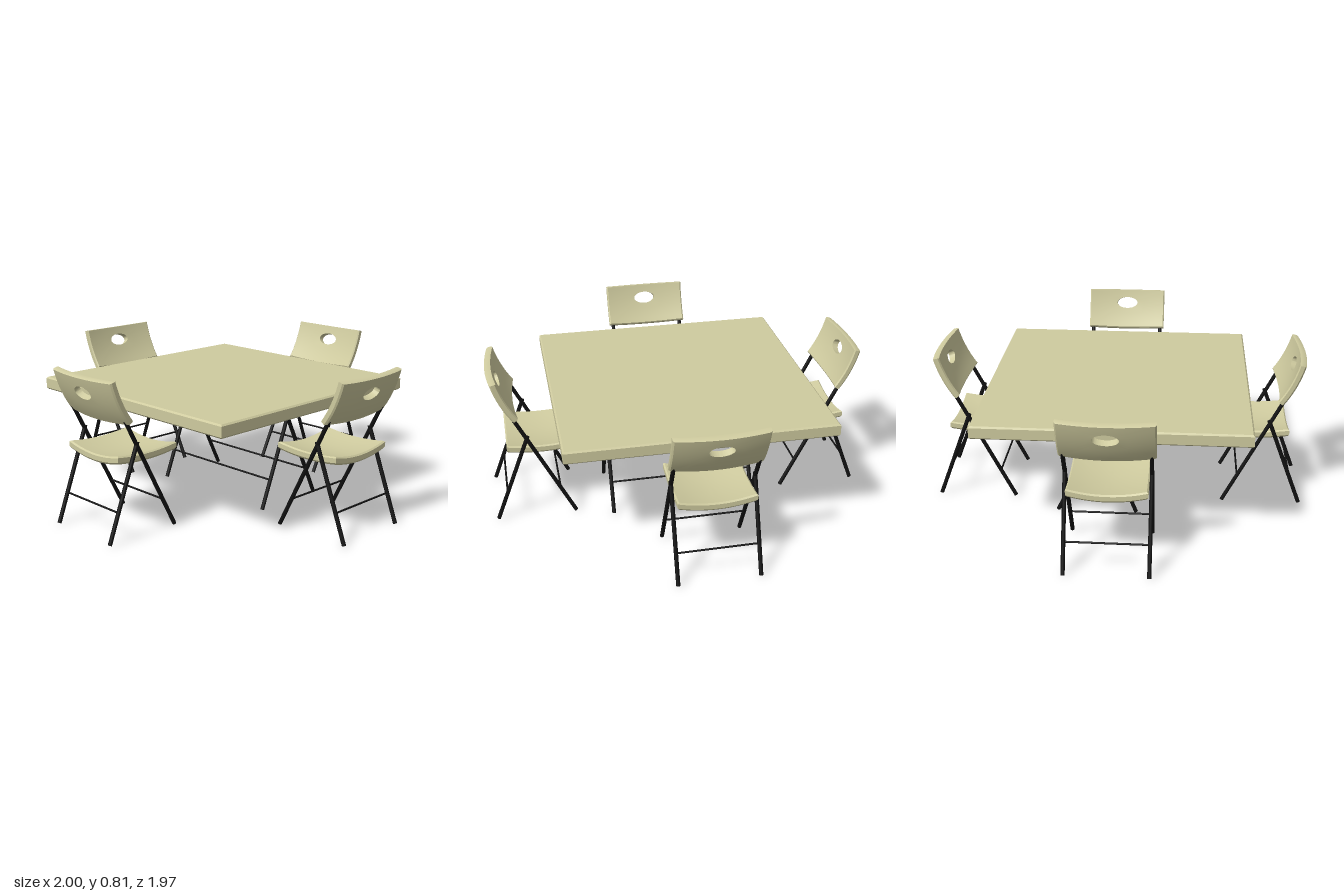
import * as THREE from 'three';
import { toCreasedNormals } from 'three/addons/utils/BufferGeometryUtils.js';

const plastic = new THREE.MeshStandardMaterial({ color: 0xcfcb9f });
const steel = new THREE.MeshStandardMaterial({ color: 0x111111 });
const V = (x, y, z) => new THREE.Vector3(x, y, z);

function add(parent, name, geometry, material) {
  const mesh = new THREE.Mesh(geometry, material);
  mesh.name = name;
  parent.add(mesh);
  return mesh;
}

// Straight round bar between two points
function bar(parent, name, a, b, radius) {
  const mesh = add(parent, name, new THREE.CylinderGeometry(radius, radius, a.distanceTo(b), 10), steel);
  mesh.position.copy(a).lerp(b, 0.5);
  mesh.quaternion.setFromUnitVectors(V(0, 1, 0), b.clone().sub(a).normalize());
}

// Bent rectangular slab: rings run from an oval hole (or the centre) out to the
// rim on top and back underneath; bend(u, v, w) places each point in space.
function panel(halfU, halfV, thick, hole, bend) {
  const N = 64, steps = [0, 0.25, 0.5, 0.75, 0.96];
  const profile = [
    ...steps.map(s => [s, thick / 2]),
    [1, thick * 0.3], [1, -thick * 0.3],
    ...steps.slice().reverse().map(s => [s, -thick / 2]),
  ];
  const M = profile.length, positions = [], index = [];
  for (let i = 0; i < N; i++) {
    const a = i / N * Math.PI * 2, c = Math.cos(a), s = Math.sin(a);
    const k = 1 / Math.max(Math.abs(c), Math.abs(s));
    for (const [t, w] of profile) {
      const u = THREE.MathUtils.lerp(hole.rx * c, halfU * c * k, t);
      const v = THREE.MathUtils.lerp(hole.v + hole.ry * s, halfV * s * k, t);
      positions.push(...bend(u, v, w).toArray());
    }
    const rows = hole.rx > 0 ? M : M - 1;
    for (let j = 0; j < rows; j++) {
      const i2 = (i + 1) % N, j2 = (j + 1) % M;
      const p = i * M + j, q = i * M + j2, r = i2 * M + j2, o = i2 * M + j;
      index.push(p, q, r, p, r, o);
    }
  }
  const g = new THREE.BufferGeometry();
  g.setAttribute('position', new THREE.Float32BufferAttribute(positions, 3));
  g.setIndex(index);
  return toCreasedNormals(g, 0.6);
}

// Folding frame: long and short legs crossing on each side, tied by thin bars.
// Each leg is given by [z, y] at its foot and its top.
function frame(parent, halfWidth, longLeg, shortLeg) {
  for (const [name, [foot, top]] of [['longLeg', longLeg], ['shortLeg', shortLeg]]) {
    for (const x of [-halfWidth, halfWidth])
      bar(parent, name, V(x, foot[1], foot[0]), V(x, top[1], top[0]), 0.0105);
    const y = 0.155, t = (y - foot[1]) / (top[1] - foot[1]);
    const z = THREE.MathUtils.lerp(foot[0], top[0], t);
    bar(parent, name + 'Crossbar', V(-halfWidth, y, z), V(halfWidth, y, z), 0.005);
  }
}

// Chair on the +z side, facing the table
function makeChair(name) {
  const chair = new THREE.Group();
  chair.name = name;
  frame(chair, 0.207, [[0.572, 0.004], [0.872, 0.605]], [[0.985, 0.004], [0.8, 0.485]]);

  // Dished seat
  const su = 0.185, sv = 0.195;
  const seat = panel(su, sv, 0.04, { rx: 0, ry: 0, v: 0 }, (u, v, w) =>
    V(v, 0.371 + 0.015 * (u / su) ** 2 + 0.026 * (v / sv) ** 2 + w, 0.725 + u));
  add(chair, 'seat', seat, plastic);

  // Backrest curved both ways, with an oval hand hole
  const bu = 0.23, bv = 0.118;
  const curve = new THREE.QuadraticBezierCurve(
    new THREE.Vector2(0.85, 0.592), new THREE.Vector2(0.9165, 0.681), new THREE.Vector2(0.949, 0.804));
  const back = panel(bu, bv, 0.034, { rx: 0.062, ry: 0.033, v: 0.042 }, (u, v, w) => {
    const t = THREE.MathUtils.clamp(v / bv / 2 + 0.5, 0, 1);
    const p = curve.getPoint(t), d = curve.getTangent(t);
    const out = w + 0.02 * (1 - (u / bu) ** 2);
    return V(u, p.y - d.x * out, p.x + d.y * out);
  });
  add(chair, 'backrest', back, plastic);
  return chair;
}

function makeTable() {
  const table = new THREE.Group();
  table.name = 'table';
  // Square top with a small bevel
  const h = 0.677, b = 0.008;
  const square = new THREE.Shape([[-h, -h], [h, -h], [h, h], [-h, h]].map(p => new THREE.Vector2(...p)));
  const top = new THREE.ExtrudeGeometry(square, {
    depth: 0.052, bevelEnabled: true, bevelSize: b, bevelThickness: b, bevelSegments: 1,
  });
  top.rotateX(-Math.PI / 2);
  add(table, 'tabletop', top, plastic).position.set(-0.024, 0.579, -0.004);
  frame(table, 0.38, [[-0.31, 0.004], [-0.036, 0.575]], [[0.105, 0.004], [-0.088, 0.49]]);
  return table;
}

export function createModel() {
  const model = new THREE.Group();
  model.name = 'foldingTableAndChairs';
  model.add(makeTable());
  // Chair name, turn about the table, sideways shift, outward shift
  const places = [
    ['frontChair', 0, -0.01, -0.01],
    ['leftChair', Math.PI / 2, 0.027, 0.003],
    ['backChair', Math.PI, 0.04, -0.01],
    ['rightChair', -Math.PI / 2, -0.005, 0.003],
  ];
  for (const [name, turn, side, out] of places) {
    const chair = makeChair(name);
    chair.rotation.y = turn;
    chair.position.set(side, 0, out).applyAxisAngle(V(0, 1, 0), turn);
    model.add(chair);
  }
  return model;
}
